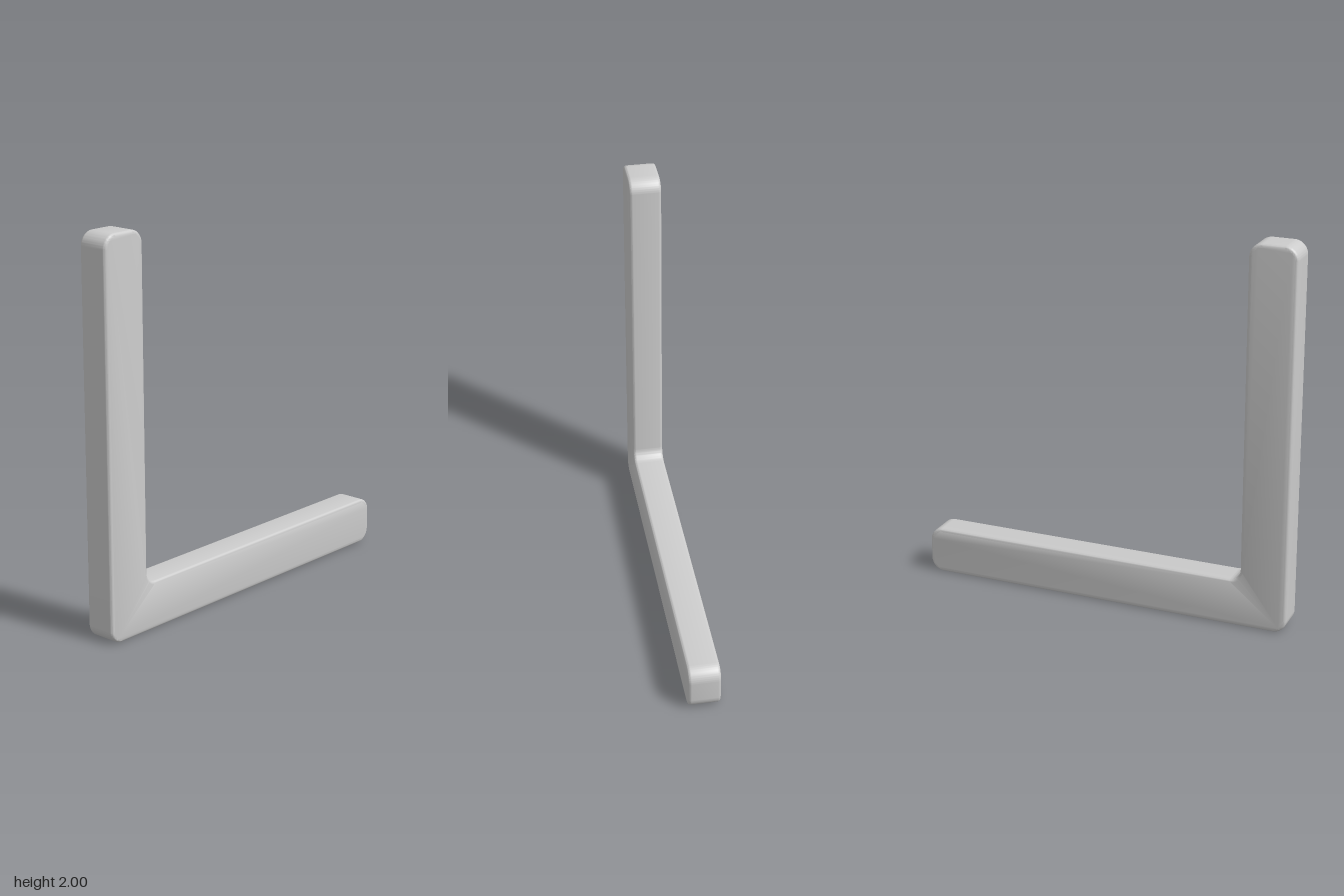
import * as THREE from 'three';
import { toCreasedNormals } from 'three/addons/utils/BufferGeometryUtils.js';

const BEVEL = 0.016, DEPTH = 0.165, ARM = 0.247;
const OUTER_R = 0.07, INNER_R = 0.06;

// Rounded L outline, inset by the bevel so the bevel grows it to full size
function bracketOutline() {
  const lo = BEVEL, hi = 2 - BEVEL, arm = ARM - BEVEL;
  const r = OUTER_R - BEVEL, f = INNER_R + BEVEL, q = Math.PI / 2;
  const s = new THREE.Shape();
  const corner = (x, y, a) => s.absarc(x, y, r, a, a + q, false);
  corner(lo + r, lo + r, 2 * q);
  corner(hi - r, lo + r, 3 * q);
  corner(hi - r, arm - r, 0);
  corner(lo + r, arm - r, q);
  return { s, lo, hi, arm, r, f, q };
}

function lShape() {
  const { lo, hi, arm, r, f, q } = bracketOutline();
  const s = new THREE.Shape();
  const corner = (x, y, a) => s.absarc(x, y, r, a, a + q, false);
  corner(lo + r, lo + r, 2 * q);
  corner(hi - r, lo + r, 3 * q);
  corner(hi - r, arm - r, 0);
  // concave fillet between the arms
  s.absarc(arm + f, arm + f, f, 3 * q, 2 * q, true);
  corner(arm - r, hi - r, 0);
  corner(lo + r, hi - r, q);
  return s;
}

export function createModel() {
  const group = new THREE.Group();
  group.name = 'cornerBracket';

  const extruded = new THREE.ExtrudeGeometry(lShape(), {
    depth: DEPTH - 2 * BEVEL,
    bevelEnabled: true,
    bevelSize: BEVEL,
    bevelThickness: BEVEL,
    bevelSegments: 4,
    curveSegments: 10,
  });
  extruded.translate(-1, 0, -DEPTH / 2 + BEVEL);

  const bracket = new THREE.Mesh(
    toCreasedNormals(extruded, 0.6),
    new THREE.MeshStandardMaterial({ color: 0xcccccc })
  );
  bracket.name = 'bracket';
  group.add(bracket);
  return group;
}
